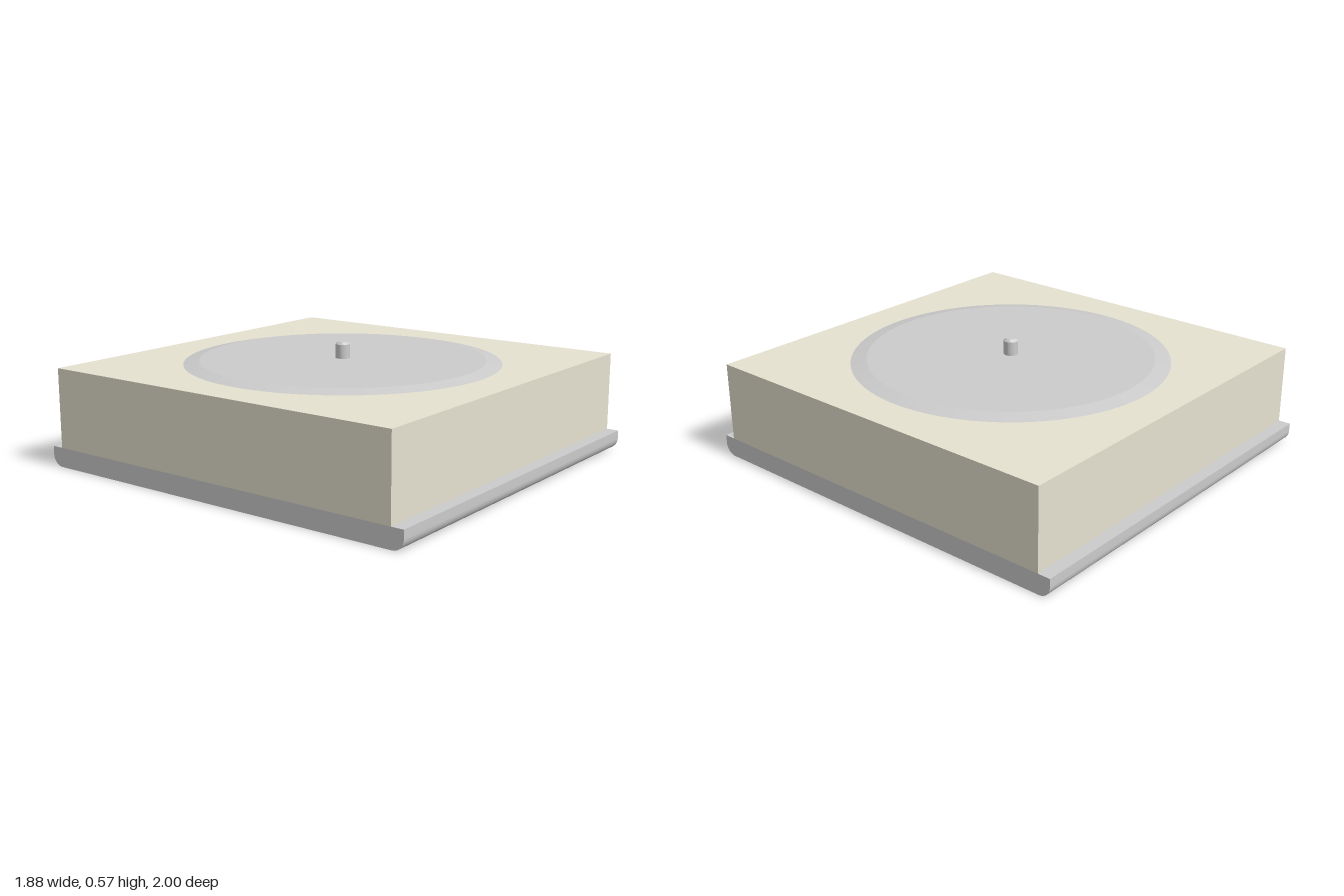
import * as THREE from 'three';
import { toCreasedNormals } from 'three/addons/utils/BufferGeometryUtils.js';

const WIDTH = 1.88, BASE_TOP = 0.094, BODY_TOP = 0.475;

const grey = new THREE.MeshStandardMaterial({ color: 0xcccccc });
const cream = new THREE.MeshStandardMaterial({ color: 0xe6e2d0 });

function addMesh(group, name, geometry, material) {
  const mesh = new THREE.Mesh(geometry, material);
  mesh.name = name;
  group.add(mesh);
  return mesh;
}

// Turned part from [radius, height] pairs, keeping edges above the crease angle sharp
function turned(points, segments, crease) {
  const profile = points.map(([r, y]) => new THREE.Vector2(r, y));
  return toCreasedNormals(new THREE.LatheGeometry(profile, segments), crease);
}

// Tray section with rounded lower edges, extruded across the width
function trayGeometry() {
  const r = 0.055;
  const section = new THREE.Shape();
  section.moveTo(-1, BASE_TOP);
  section.lineTo(-1, r);
  section.absarc(-1 + r, r, r, Math.PI, Math.PI * 1.5, false);
  section.lineTo(1 - r, 0);
  section.absarc(1 - r, r, r, -Math.PI / 2, 0, false);
  section.lineTo(1, BASE_TOP);
  section.closePath();
  const geometry = new THREE.ExtrudeGeometry(section, { depth: WIDTH, bevelEnabled: false, curveSegments: 12 });
  geometry.translate(0, 0, -WIDTH / 2).rotateY(Math.PI / 2);
  return toCreasedNormals(geometry, 0.4);
}

export function createModel() {
  const group = new THREE.Group();
  group.name = 'turntable';

  // Base tray
  addMesh(group, 'baseTray', trayGeometry(), grey);

  // Square body block
  const height = BODY_TOP - BASE_TOP;
  const body = addMesh(group, 'body', new THREE.BoxGeometry(WIDTH, height, WIDTH), cream);
  body.position.y = BASE_TOP + height / 2;

  // Shallow round plate with a sloping rim
  addMesh(group, 'plate', turned([[0.755, BODY_TOP], [0.68, 0.49], [0, 0.49]], 96, 0.12), grey);

  // Centre pin with a chamfered tip
  addMesh(group, 'centrePin', turned([[0.034, 0.485], [0.034, 0.557], [0.022, 0.568], [0, 0.568]], 32, 0.4), grey);

  return group;
}
